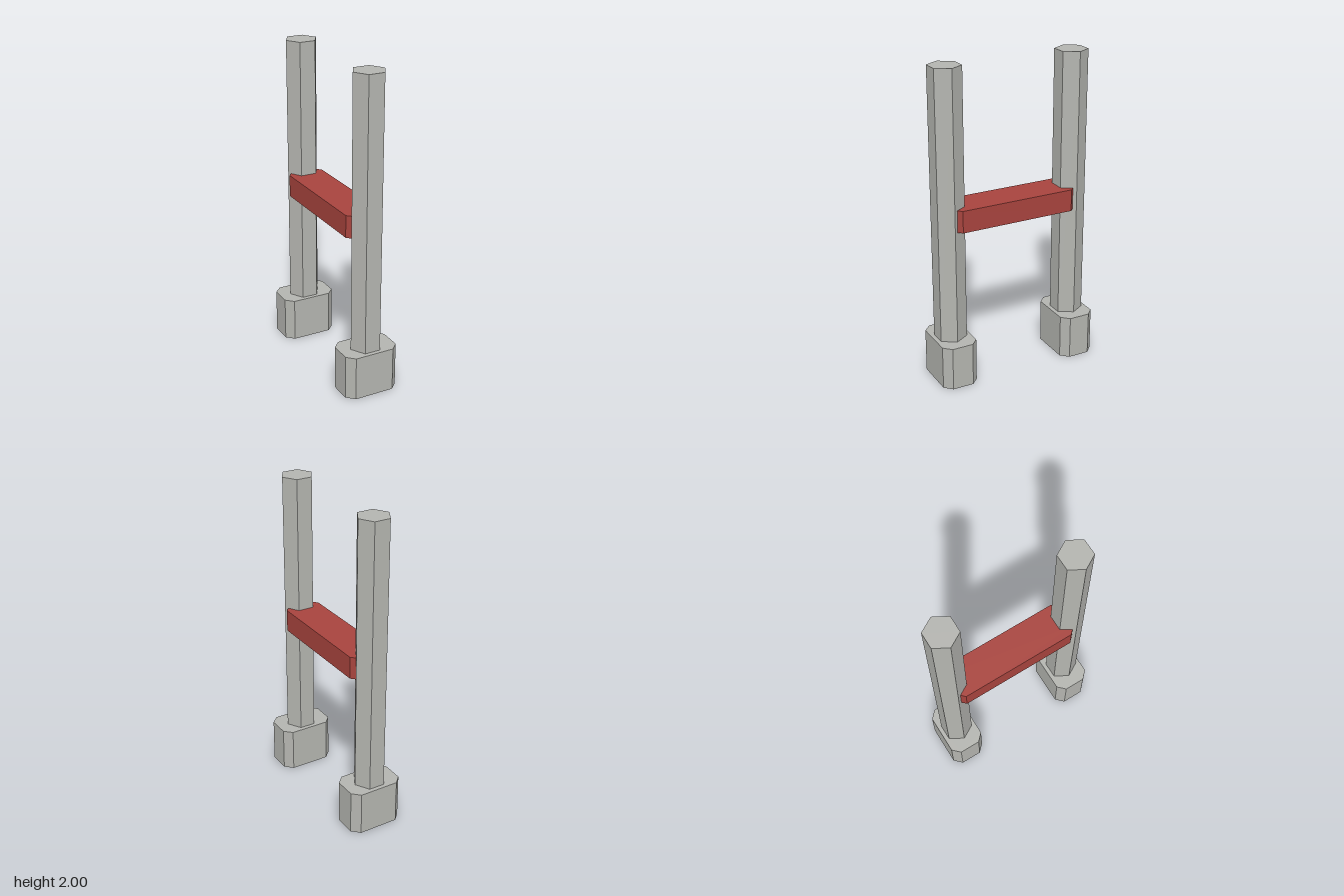
import * as THREE from 'three';

// Upright prism with a rectangular plan whose corners are cut at 45 degrees
function chamferedPrism(halfX, halfZ, cut, height) {
  const plan = [
    [halfX, -halfZ + cut], [halfX, halfZ - cut],
    [halfX - cut, halfZ], [-halfX + cut, halfZ],
    [-halfX, halfZ - cut], [-halfX, -halfZ + cut],
    [-halfX + cut, -halfZ], [halfX - cut, -halfZ],
  ].map(([x, z]) => new THREE.Vector2(x, z));
  const geometry = new THREE.ExtrudeGeometry(new THREE.Shape(plan), {
    depth: height, bevelEnabled: false,
  });
  return geometry.rotateX(-Math.PI / 2);
}

export function createModel() {
  const model = new THREE.Group();
  const stone = new THREE.MeshStandardMaterial({ color: 0xb4b5b0, flatShading: true });
  stone.name = 'stone grey';
  const red = new THREE.MeshStandardMaterial({ color: 0xa8443e, flatShading: true });
  red.name = 'brick red';

  const add = (name, geometry, material, y, z) => {
    const mesh = new THREE.Mesh(geometry, material);
    mesh.name = name;
    mesh.position.set(0, y, z);
    model.add(mesh);
  };

  const footHeight = 0.28;
  const postHeight = 2 - footHeight;
  const footGeometry = chamferedPrism(0.174, 0.115, 0.047, footHeight);
  // Hexagonal post with corners pointing to either side
  const postGeometry = new THREE.CylinderGeometry(0.102, 0.102, postHeight, 6, 1, false, Math.PI / 2);

  // Foot and post at the front and back
  for (const [side, sign] of [['front', 1], ['back', -1]]) {
    add(side + 'Foot', footGeometry, stone, 0, sign * 0.418);
    add(side + 'Post', postGeometry, stone, footHeight + postHeight / 2, sign * 0.418);
  }

  // Crossbeam, its cut ends sunk into the posts
  add('crossbeam', chamferedPrism(0.115, 0.418, 0.046, 0.14), red, 1.003, 0);

  return model;
}
